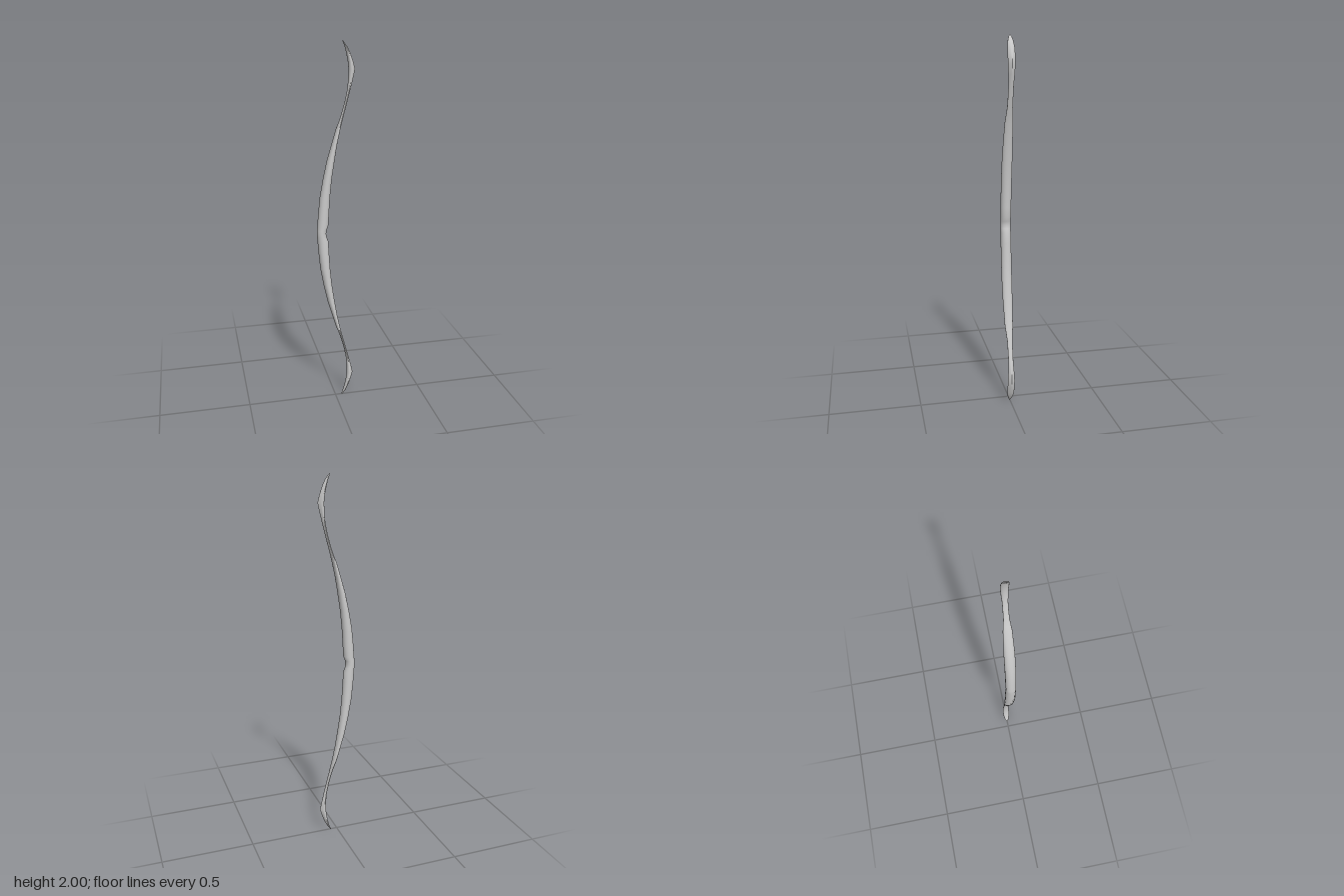
import * as THREE from 'three';

// Upper-limb sections: height, belly x, back x, half width, ridge sharpness
const SECTIONS = [
  [1.0, -0.102, -0.052, 0.028, 0],
  [1.02, -0.101, -0.05, 0.028, 0],
  [1.045, -0.099, -0.04, 0.028, 0],
  [1.1, -0.095, -0.037, 0.029, 0],
  [1.2, -0.085, -0.031, 0.029, 0],
  [1.3, -0.067, -0.021, 0.029, 0],
  [1.4, -0.045, -0.006, 0.028, 0],
  [1.48, -0.021, 0.007, 0.025, 0],
  [1.56, 0.003, 0.024, 0.023, 0],
  [1.6, 0.019, 0.034, 0.019, 0],
  [1.64, 0.032, 0.045, 0.015, 0],
  [1.7, 0.049, 0.061, 0.014, 0],
  [1.76, 0.061, 0.077, 0.014, 0.2],
  [1.81, 0.066, 0.09, 0.017, 0.6],
  [1.86, 0.067, 0.101, 0.019, 0.8],
  [1.9, 0.063, 0.09, 0.02, 0.6],
  [1.94, 0.055, 0.075, 0.019, 0.3],
  [1.97, 0.047, 0.06, 0.015, 0],
  [1.99, 0.039, 0.045, 0.009, 0],
  [2.0, 0.035, 0.037, 0.003, 0],
];

const SIDES = 20;

// Skins a list of horizontal sections into one closed, smooth stave
function loft(sections) {
  const pos = [];
  const index = [];
  for (const [y, x0, x1, half, ridge] of sections) {
    for (let j = 0; j < SIDES; j++) {
      const a = (j / SIDES) * Math.PI * 2;
      const c = Math.cos(a);
      // Pinch the +x side into a ridge near the limb tips
      const z = half * Math.sin(a) * (1 - ridge * Math.max(0, c));
      pos.push((x0 + x1) / 2 + ((x1 - x0) / 2) * c, y, z);
    }
  }
  const last = sections.length - 1;
  for (let i = 0; i < last; i++) {
    for (let j = 0; j < SIDES; j++) {
      const k = (j + 1) % SIDES;
      const a = i * SIDES + j, b = i * SIDES + k;
      const c = a + SIDES, d = b + SIDES;
      index.push(a, c, b, b, c, d);
    }
  }
  // End caps
  for (let j = 1; j < SIDES - 1; j++) {
    const top = last * SIDES;
    index.push(0, j, j + 1);
    index.push(top, top + j + 1, top + j);
  }
  const geometry = new THREE.BufferGeometry();
  geometry.setAttribute('position', new THREE.Float32BufferAttribute(pos, 3));
  geometry.setIndex(index);
  geometry.computeVertexNormals();
  return geometry;
}

export function createModel() {
  const group = new THREE.Group();
  group.name = 'bow';

  // Lower limb mirrors the upper one about the grip
  const lower = SECTIONS.slice(1).reverse().map(([y, ...rest]) => [2 - y, ...rest]);
  const stave = new THREE.Mesh(
    loft([...lower, ...SECTIONS]),
    new THREE.MeshStandardMaterial({ color: 0xcccccc })
  );
  stave.name = 'bowStave';
  group.add(stave);
  return group;
}
